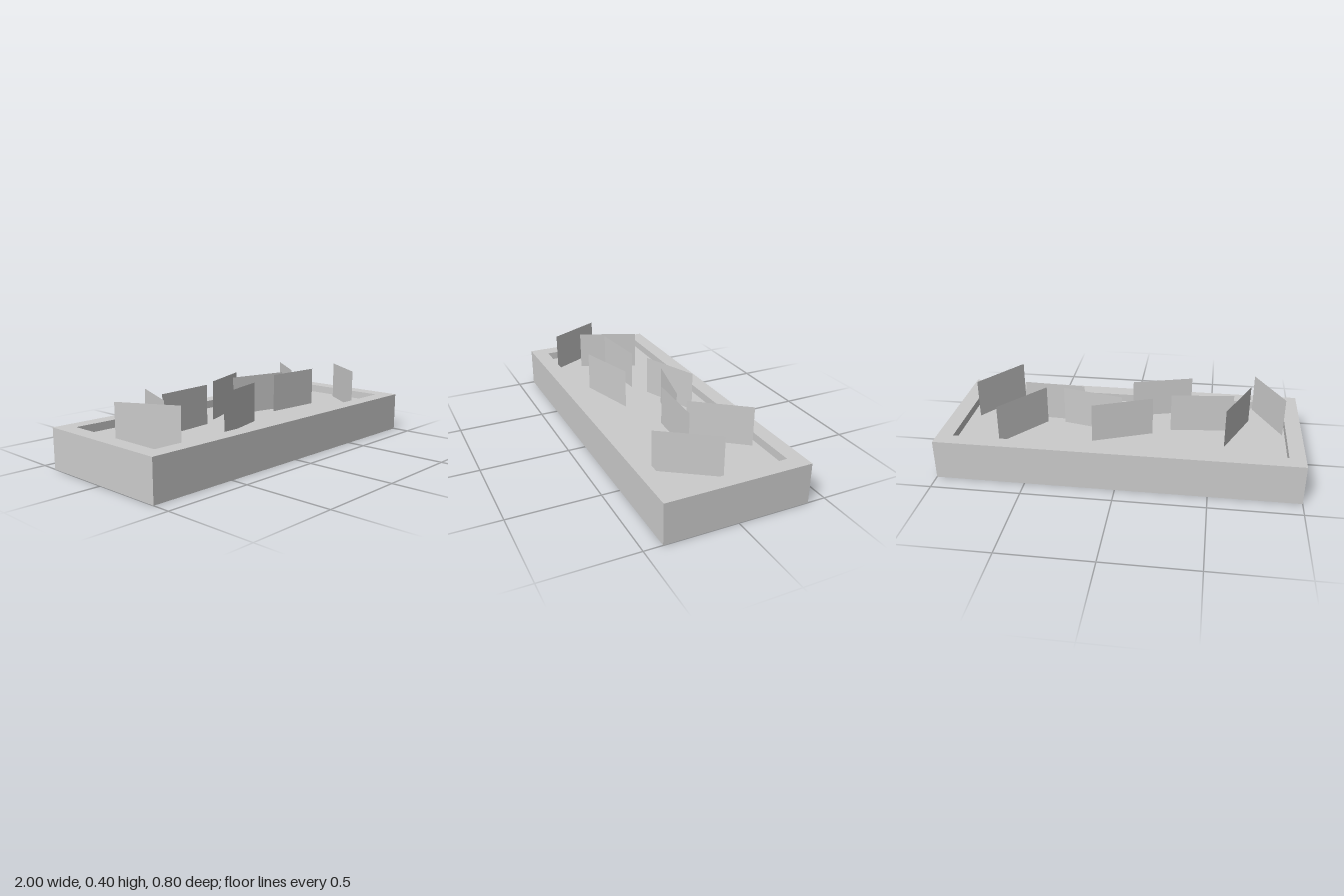
import * as THREE from 'three';

export function createModel() {
  const group = new THREE.Group();
  const grey = new THREE.MeshStandardMaterial({ color: 0xcccccc, side: THREE.DoubleSide });
  grey.name = 'light grey';

  const add = (name, geometry) => {
    const mesh = new THREE.Mesh(geometry, grey);
    mesh.name = name;
    group.add(mesh);
    return mesh;
  };

  const rimY = 0.225, bedY = 0.18, topY = 0.4;
  const x0 = -0.913, x1 = 0.911, z0 = -0.316, z1 = 0.31;

  // Rectangular planter wall with an open middle
  const outline = new THREE.Shape([[-1, -0.4], [1, -0.4], [1, 0.4], [-1, 0.4]].map(p => new THREE.Vector2(...p)));
  outline.holes.push(new THREE.Path([[x0, -z1], [x0, -z0], [x1, -z0], [x1, -z1]].map(p => new THREE.Vector2(...p))));
  const wall = new THREE.ExtrudeGeometry(outline, { depth: rimY, bevelEnabled: false });
  wall.rotateX(-Math.PI / 2);
  add('planterWall', wall);

  // Sunken bed filling the middle
  add('plantingBed', new THREE.BoxGeometry(x1 - x0, bedY, z1 - z0))
    .position.set((x0 + x1) / 2, bedY / 2, (z0 + z1) / 2);

  // Upright foliage cards: start x, z and end x, z
  const cards = [
    [-0.9, 0.0, -0.74, 0.3],
    [-0.715, 0.15, -0.575, -0.172],
    [-0.617, 0.02, -0.27, -0.015],
    [-0.375, 0.222, -0.04, 0.127],
    [-0.172, -0.069, 0.153, -0.198],
    [0.0, -0.077, 0.345, 0.0],
    [0.232, 0.034, 0.58, 0.05],
    [0.445, -0.006, 0.66, -0.281],
    [0.66, 0.298, 0.86, 0.01],
  ];
  cards.forEach(([ax, az, bx, bz], i) => {
    const card = add(`plantCard${i + 1}`, new THREE.PlaneGeometry(Math.hypot(bx - ax, bz - az), topY - bedY));
    card.position.set((ax + bx) / 2, (topY + bedY) / 2, (az + bz) / 2);
    card.rotation.y = Math.atan2(az - bz, bx - ax);
  });

  return group;
}
